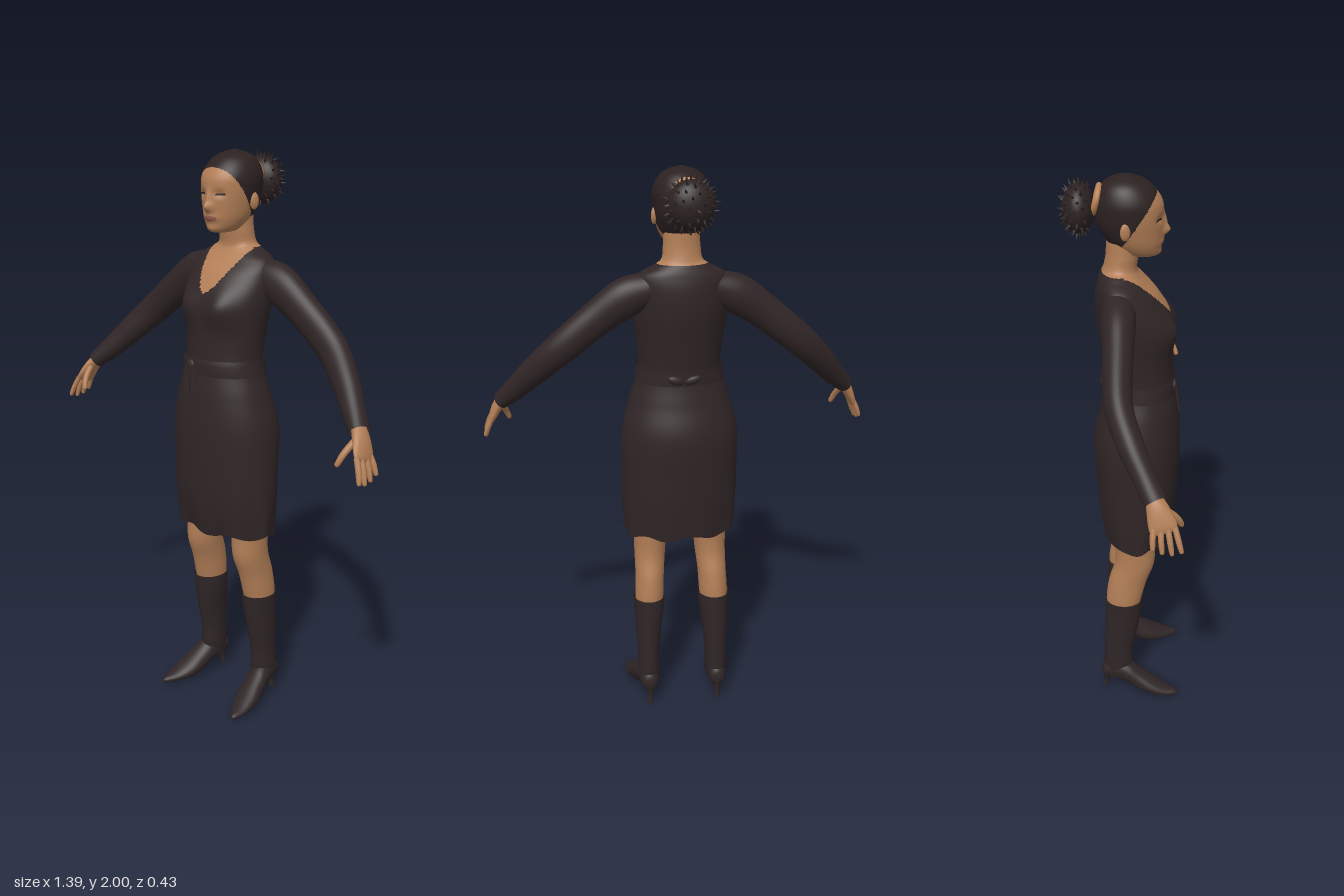
import * as THREE from 'three';

const material = (name, color, side = THREE.FrontSide) => {
  const m = new THREE.MeshStandardMaterial({ color, side });
  m.name = name;
  return m;
};

// Smooth skin through elliptical sections [x, y, z, radiusU, radiusV].
// U and V are fixed axes, or follow the path when left out.
function loft(keys, { U, V, segs = 32, rings = 32, warp } = {}) {
  const path = new THREE.CatmullRomCurve3(keys.map(k => new THREE.Vector3(k[0], k[1], k[2])), false, 'catmullrom');
  const radii = new THREE.CatmullRomCurve3(keys.map(k => new THREE.Vector3(k[3], k[4], 0)), false, 'catmullrom');
  const pos = [], index = [];
  let flip = false;
  for (let i = 0; i <= rings; i++) {
    const c = path.getPoint(i / rings), r = radii.getPoint(i / rings), T = path.getTangent(i / rings);
    const v = V ?? new THREE.Vector3(0, 0, 1).addScaledVector(T, -T.z).normalize();
    const u = U ?? new THREE.Vector3().crossVectors(v, T).normalize();
    if (i === rings >> 1) flip = new THREE.Vector3().crossVectors(u, v).dot(T) > 0;
    for (let j = 0; j < segs; j++) {
      const a = j / segs * Math.PI * 2;
      const p = c.clone().addScaledVector(u, Math.cos(a) * Math.max(r.x, 0.0005))
        .addScaledVector(v, Math.sin(a) * Math.max(r.y, 0.0005));
      if (warp) warp(p, a);
      pos.push(p.x, p.y, p.z);
    }
  }
  for (let i = 0; i < rings; i++) for (let j = 0; j < segs; j++) {
    const a = i * segs + j, b = i * segs + (j + 1) % segs, c = a + segs, d = b + segs;
    if (flip) index.push(a, b, c, b, d, c);
    else index.push(a, c, b, b, c, d);
  }
  const g = new THREE.BufferGeometry();
  g.setAttribute('position', new THREE.Float32BufferAttribute(pos, 3));
  g.setIndex(index);
  g.computeVertexNormals();
  return g;
}

// Sorts triangles into material groups by the position of their centre
function paint(g, count, pick) {
  const p = g.attributes.position, src = g.index.array, sets = Array.from({ length: count }, () => []);
  for (let i = 0; i < src.length; i += 3) {
    const t = [src[i], src[i + 1], src[i + 2]];
    const mean = f => (p[f](t[0]) + p[f](t[1]) + p[f](t[2])) / 3;
    sets[pick(mean('getX'), mean('getY'), mean('getZ'))].push(...t);
  }
  g.setIndex(sets.flat());
  let start = 0;
  sets.forEach((s, i) => { g.addGroup(start, s.length, i); start += s.length; });
  return g;
}

const X = new THREE.Vector3(1, 0, 0), Y = new THREE.Vector3(0, 1, 0), Z = new THREE.Vector3(0, 0, 1);
const bump = (x, y, w, h) => Math.exp(-((x / w) ** 2) - (y / h) ** 2);
// Section given as [height, front z, back z, half width]
const section = ([y, f, b, w]) => [0, y, (f + b) / 2, w, (f - b) / 2];

export function createModel() {
  const model = new THREE.Group();
  const skin = material('skin', 0xb27e56);
  const cloth = material('dark cloth', 0x302526, THREE.DoubleSide);
  const hair = material('hair', 0x2c2121);
  const leather = material('boot leather', 0x2f2526, THREE.DoubleSide);
  const lip = material('lips', 0x93594a);
  const band = material('hair band', 0xb98252);
  const add = (name, geometry, mat, parent = model) => {
    const m = new THREE.Mesh(geometry, mat);
    m.name = name;
    parent.add(m);
    return m;
  };

  // Dress with scooped neckline, chest and neck
  const torso = loft([
    [0.69, 0.165, -0.075, 0.203], [0.8, 0.185, -0.09, 0.209], [0.92, 0.193, -0.1, 0.21],
    [1.08, 0.195, -0.108, 0.207], [1.2, 0.185, -0.08, 0.178], [1.3, 0.17, -0.062, 0.147],
    [1.4, 0.165, -0.075, 0.15], [1.51, 0.165, -0.095, 0.165], [1.6, 0.115, -0.098, 0.165],
    [1.65, 0.07, -0.09, 0.15], [1.68, 0.045, -0.08, 0.1], [1.7, 0.04, -0.07, 0.07],
    [1.74, 0.045, -0.062, 0.063], [1.79, 0.05, -0.06, 0.06],
  ].map(section), {
    U: X, V: Z, segs: 112, rings: 170,
    warp: (p, a) => {
      if (p.z > 0.04) p.z += 0.018 * bump(Math.abs(p.x) - 0.075, p.y - 1.5, 0.045, 0.06);
      const fold = Math.max(0, (0.92 - p.y) / 0.23);
      const k = 1 + 0.03 * fold * fold * Math.sin(a * 9);
      p.x *= k;
      p.z *= k;
      p.y += 0.007 * fold * fold * Math.sin(a * 7 + 1);
    },
  });
  const bare = (x, y, z) => y > 1.688 ||
    (z > 0 && y > 1.545 && Math.abs(x) < 0.088 * ((y - 1.545) / 0.14) ** 0.6);
  add('dressAndNeck', paint(torso, 2, (x, y, z) => bare(x, y, z) ? 1 : 0), [cloth, skin]);

  // Sash, front tails and back bow
  add('sash', loft([[1.27, 0.176, -0.068, 0.159], [1.29, 0.177, -0.069, 0.156], [1.31, 0.176, -0.069, 0.153],
    [1.325, 0.172, -0.07, 0.151]].map(section), { U: X, V: Z, segs: 64, rings: 8 }), cloth);
  const knot = add('sashKnot', new THREE.SphereGeometry(0.022, 16, 12), cloth);
  knot.position.set(-0.045, 1.295, 0.168);
  knot.scale.set(1, 1, 0.6);
  [[-0.05, 0.05], [-0.02, 0.35]].forEach(([x, tilt]) => {
    const tail = add('sashTail', new THREE.BoxGeometry(0.025, 0.09, 0.008), cloth);
    tail.position.set(x, 1.25, 0.182);
    tail.rotation.set(-0.15, 0, tilt);
  });
  for (const s of [-1, 1]) {
    const loop = add('backBow', new THREE.SphereGeometry(0.03, 16, 12), cloth);
    loop.position.set(s * 0.03, 1.295, -0.072);
    loop.scale.set(1, 0.5, 0.4);
    loop.rotation.z = s * 0.3;
  }

  // Head with modelled nose, lips, eyes and hairline
  const head = loft([
    [1.735, 0.072, 0.068, 0.001], [1.745, 0.107, 0.0, 0.042], [1.78, 0.118, -0.045, 0.07],
    [1.83, 0.123, -0.085, 0.086], [1.88, 0.124, -0.097, 0.094], [1.92, 0.118, -0.098, 0.094],
    [1.96, 0.09, -0.08, 0.078], [1.985, 0.055, -0.05, 0.05], [2.0, 0.002, -0.002, 0.001],
  ].map(section), {
    U: X, V: Z, segs: 128, rings: 120,
    warp: p => {
      if (p.z < 0.05) return;
      const ax = Math.abs(p.x);
      p.z += 0.02 * bump(p.x, p.y - 1.822, 0.015, 0.016) + 0.01 * bump(p.x, p.y - 1.85, 0.01, 0.025)
        + 0.007 * bump(p.x, p.y - 1.787, 0.028, 0.012) + 0.006 * bump(p.x, p.y - 1.75, 0.025, 0.014)
        - 0.008 * bump(ax - 0.036, p.y - 1.866, 0.018, 0.013);
    },
  });
  const feature = (x, y, z) => {
    if (y > 1.795 + 1.5 * z) return 1;
    if (z > 0.05 && (x / 0.027) ** 2 + ((y - 1.787) / 0.009) ** 2 < 1) return 2;
    if (z > 0.05 && ((Math.abs(x) - 0.038) / 0.017) ** 2 + ((y - 1.864) / 0.004) ** 2 < 1) return 1;
    return 0;
  };
  add('head', paint(head, 3, feature), [skin, hair, lip]);
  for (const s of [-1, 1]) {
    const ear = add('ear', new THREE.SphereGeometry(0.028, 16, 12), skin);
    ear.position.set(s * 0.09, 1.84, 0.004);
    ear.scale.set(0.35, 1, 0.6);
    ear.rotation.y = s * -0.3;
  }

  // Spiky hair bun and its band
  const bun = new THREE.Group();
  bun.name = 'hairBun';
  bun.position.set(-0.01, 1.892, -0.145);
  model.add(bun);
  add('bunCore', new THREE.SphereGeometry(1, 32, 20), hair, bun).scale.set(0.078, 0.08, 0.052);
  let seed = 7;
  const random = () => (seed = (seed * 16807) % 2147483647) / 2147483647;
  for (let i = 0; i < 90; i++) {
    const h = 1 - 2 * (i + 0.5) / 90, a = i * 2.39996, r = Math.sqrt(1 - h * h);
    const d = new THREE.Vector3(r * Math.cos(a), r * Math.sin(a), h);
    if (d.z > 0.6) continue;
    const spike = add('hairSpike', new THREE.ConeGeometry(0.009, 0.03 + random() * 0.012, 5), hair, bun);
    spike.position.set(d.x * 0.08, d.y * 0.082, d.z * 0.053);
    d.x += random() * 0.8 - 0.4;
    d.y += random() * 0.8 - 0.4;
    spike.quaternion.setFromUnitVectors(Y, d.normalize());
  }
  const tie = add('hairBand', new THREE.TorusGeometry(0.042, 0.011, 10, 32), band);
  tie.position.set(-0.008, 1.92, -0.09);
  tie.rotation.x = 0.25;

  for (const s of [1, -1]) {
    const side = s > 0 ? 'left' : 'right';
    const mirror = keys => keys.map(([x, ...rest]) => [x * s, ...rest]);

    // Sleeve
    add(side + 'Sleeve', loft(mirror([
      [0.11, 1.605, -0.015, 0.055, 0.055], [0.19, 1.575, -0.015, 0.068, 0.056],
      [0.28, 1.515, -0.013, 0.061, 0.049], [0.41, 1.41, -0.008, 0.056, 0.045],
      [0.5, 1.325, 0.03, 0.049, 0.043], [0.57, 1.25, 0.075, 0.04, 0.038], [0.624, 1.197, 0.11, 0.03, 0.036],
    ]), { rings: 48 }), cloth);

    // Hand, fingers and thumb
    const hand = new THREE.Group();
    hand.name = side + 'Hand';
    model.add(hand);
    add('palm', loft(mirror([
      [0.59, 1.235, 0.088, 0.02, 0.024], [0.613, 1.208, 0.102, 0.021, 0.026], [0.635, 1.18, 0.116, 0.02, 0.035],
      [0.655, 1.142, 0.13, 0.015, 0.043], [0.664, 1.12, 0.137, 0.009, 0.04], [0.666, 1.114, 0.139, 0.001, 0.02],
    ]), { segs: 24, rings: 20 }), skin, hand);
    const finger = (name, a, m, b, r) => add(name, loft(mirror([
      [...a, r, r], [...m, r, r], [...b, r * 0.75, r * 0.75],
      [b[0] + (b[0] - m[0]) * 0.15, b[1] + (b[1] - m[1]) * 0.15, b[2] + (b[2] - m[2]) * 0.15, 0.001, 0.001],
    ]), { segs: 10, rings: 14 }), skin, hand);
    [-0.032, -0.011, 0.011, 0.032].forEach((o, i) => {
      const drop = [0.012, 0, -0.004, 0.004][i];
      finger('finger', [0.659, 1.135, 0.136 + o], [0.676, 1.095 + drop / 2, 0.141 + o * 1.2],
        [0.687, 1.06 + drop, 0.146 + o * 1.35], 0.0095);
    });
    finger('thumb', [0.628, 1.18, 0.132], [0.614, 1.14, 0.172], [0.602, 1.105, 0.19], 0.011);

    // Leg
    add(side + 'Leg', loft(mirror([
      [0.1, 1.0, 0.04, 0.092, 0.095], [0.108, 0.85, 0.042, 0.078, 0.085], [0.111, 0.69, 0.042, 0.062, 0.073],
      [0.114, 0.6, 0.04, 0.057, 0.072], [0.118, 0.52, 0.016, 0.053, 0.07], [0.122, 0.43, 0.0, 0.052, 0.064],
      [0.124, 0.36, -0.003, 0.04, 0.05],
    ]), { U: X, V: Z, rings: 40 }), skin);

    // Boot: shaft, pointed foot and heel
    add(side + 'BootShaft', loft(mirror([
      [0.131, 0.07, -0.025, 0.035, 0.045], [0.13, 0.13, -0.02, 0.041, 0.054], [0.129, 0.2, -0.018, 0.041, 0.054],
      [0.127, 0.3, -0.008, 0.048, 0.062], [0.123, 0.38, -0.001, 0.055, 0.067], [0.123, 0.437, 0.002, 0.059, 0.069],
    ]), { U: X, V: Z, rings: 30 }), leather);
    add(side + 'BootFoot', loft(mirror([
      [0.13, 0.09, -0.085, 0.001, 0.001], [0.13, 0.092, -0.074, 0.027, 0.034], [0.132, 0.1, -0.03, 0.039, 0.047],
      [0.14, 0.086, 0.02, 0.043, 0.047], [0.148, 0.06, 0.06, 0.045, 0.044], [0.158, 0.037, 0.11, 0.046, 0.033],
      [0.17, 0.023, 0.16, 0.033, 0.019], [0.179, 0.017, 0.2, 0.014, 0.011], [0.181, 0.017, 0.212, 0.001, 0.001],
    ]), { U: X, V: Y, rings: 40 }), leather);
    add(side + 'BootHeel', loft(mirror([
      [0.13, 0, -0.068, 0.001, 0.001], [0.13, 0.001, -0.068, 0.01, 0.009], [0.13, 0.03, -0.066, 0.009, 0.009],
      [0.13, 0.055, -0.062, 0.015, 0.016], [0.13, 0.085, -0.055, 0.027, 0.026],
    ]), { U: X, V: Z, segs: 16, rings: 16 }), leather);
  }
  return model;
}
